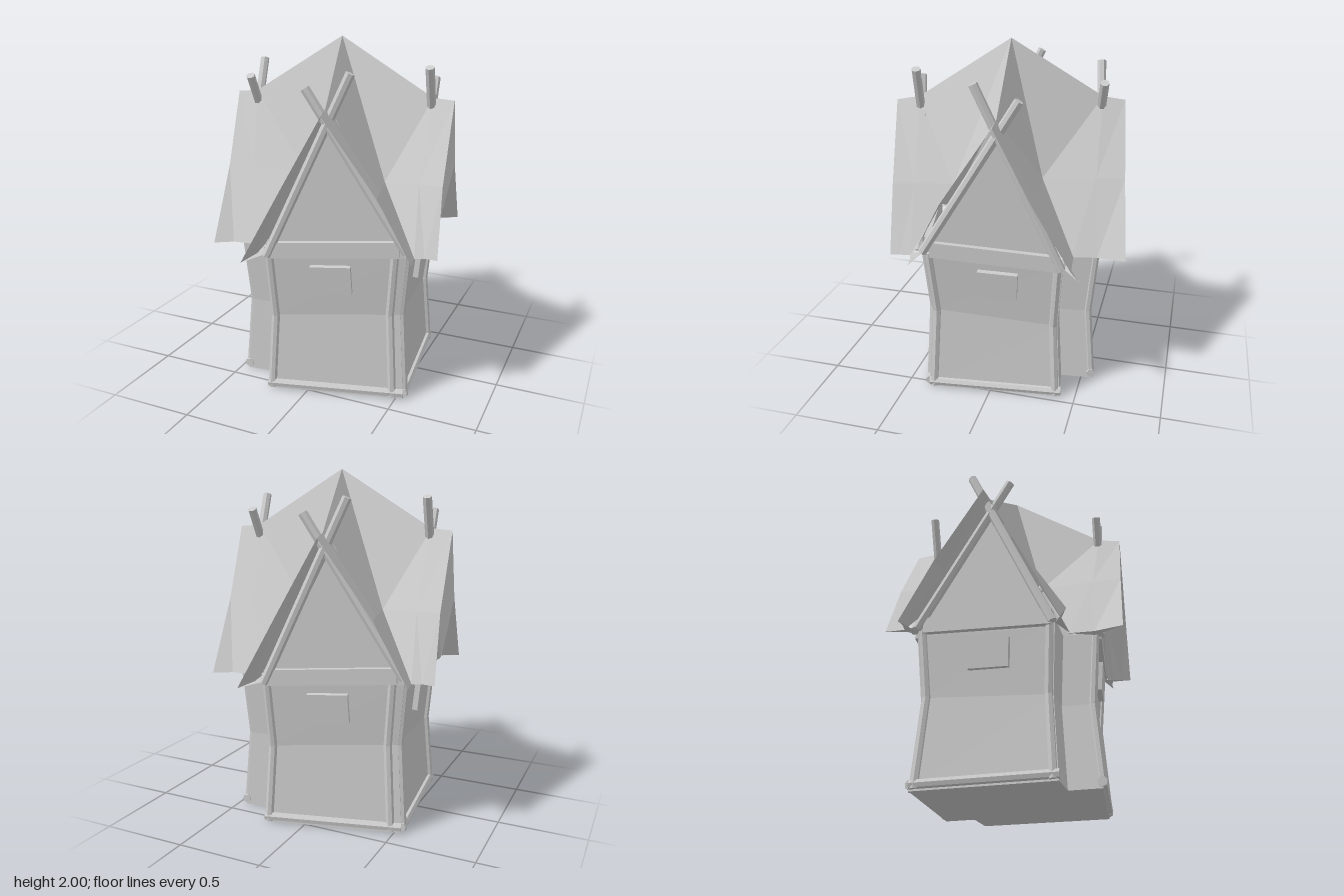
import * as THREE from 'three';

const V = (x, y, z) => new THREE.Vector3(x, y, z);
const grey = new THREE.MeshStandardMaterial({ color: 0xcccccc, flatShading: true });
const greyThin = new THREE.MeshStandardMaterial({ color: 0xcccccc, flatShading: true, side: THREE.DoubleSide });

// Plan corners of one half of the house; the other half is turned by 180 degrees
const A = V(-0.22, 0, 0.56), B = V(0.54, 0, 0.365), C = V(0.45, 0, -0.41), N = V(0.24, 0, -0.38);

// Walls pinch inwards at a waist, which sits a little higher at corner B
const LOW_WAIST = 0.455, HIGH_WAIST = 0.51, TOP = 0.86;
const bow = (y, waist) => y < waist ? 1 - 0.07 * y / waist : 0.93 + 0.07 * Math.min(1, (y - waist) / (TOP - waist));

function mesh(name, geometry, material = grey) {
  const m = new THREE.Mesh(geometry, material);
  m.name = name;
  return m;
}

function facets(points) {
  const g = new THREE.BufferGeometry().setFromPoints(points);
  g.computeVertexNormals();
  return g;
}

function pole(name, a, b, r) {
  const m = mesh(name, new THREE.CylinderGeometry(r, r, a.distanceTo(b), 7));
  m.position.copy(a).lerp(b, 0.5);
  m.quaternion.setFromUnitVectors(V(0, 1, 0), b.clone().sub(a).normalize());
  return m;
}

// Box running from a to b, its depth facing along n
function board(name, a, b, n, height, depth) {
  const m = mesh(name, new THREE.BoxGeometry(a.distanceTo(b), height, depth));
  const x = b.clone().sub(a).normalize();
  const y = n.clone().cross(x).normalize();
  m.quaternion.setFromRotationMatrix(new THREE.Matrix4().makeBasis(x, y, x.clone().cross(y)));
  m.position.copy(a).lerp(b, 0.5);
  return m;
}

// Cross-shaped plan lofted through three heights, closed below
function body() {
  const half = [A, B, C, N];
  const ring = [...half, ...half.map(p => V(-p.x, 0, -p.z))];
  const at = (i, level) => {
    const waist = i % 4 === 1 ? HIGH_WAIST : LOW_WAIST;
    const y = [0, waist, TOP][level];
    return ring[i % 8].clone().multiplyScalar(bow(y, waist)).setY(y);
  };
  const pts = [];
  for (let i = 0; i < 8; i++) {
    for (let k = 0; k < 2; k++) {
      const a = at(i, k), b = at(i + 1, k), c = at(i + 1, k + 1), d = at(i, k + 1);
      pts.push(a, b, c, a, c, d);
    }
    pts.push(V(0, 0, 0), at(i + 1, 0), at(i, 0));
  }
  return mesh('walls', facets(pts));
}

// Roof wing: columns run from the valleys to the gable edge,
// each going from the low eave over the ridge to the high eave
function roof(columns) {
  const pts = [];
  for (let c = 0; c < 2; c++) for (let r = 0; r < 4; r++) {
    const [a, b, d, e] = [columns[c][r], columns[c + 1][r], columns[c + 1][r + 1], columns[c][r + 1]].map(p => V(...p));
    // split along the diagonal that keeps the ridge fold clean
    if (r < 2) pts.push(a, b, d, a, d, e);
    else pts.push(a, b, e, b, d, e);
  }
  return mesh('roof', facets(pts), greyThin);
}

// Soffits closing the eaves back to the wall corners
function soffits(columns, low, high) {
  const pts = [];
  for (const [corner, r] of [[low, 0], [high, 4]]) {
    for (let c = 0; c < 2; c++) {
      const a = V(...columns[c][r]), b = V(...columns[c + 1][r]);
      pts.push(corner.clone().setY(a.y), a, b);
    }
  }
  return mesh('soffits', facets(pts), greyThin);
}

// Timber, window, gable and roof of one wall, from its low to its high corner
function wing(name, low, high, posts, columns) {
  const g = new THREE.Group();
  g.name = name;
  const along = high.clone().sub(low).normalize();
  const n = V(-along.z, 0, along.x);
  if (n.dot(low) < 0) n.negate();
  const waist = t => THREE.MathUtils.lerp(LOW_WAIST, HIGH_WAIST, t);
  const P = (t, y, out = 0) => low.clone().lerp(high, t).multiplyScalar(bow(y, waist(t))).addScaledVector(n, out).setY(y);

  g.add(roof(columns), soffits(columns, low, high));

  // gable wall
  g.add(mesh('gableWall', facets([P(0, 0.82), P(1, 0.86), P(0.51, 1.61)]), greyThin));

  // posts and sill
  for (const t of posts) {
    g.add(pole('lowerPost', P(t, 0.01), P(t, waist(t)), 0.024));
    g.add(pole('upperPost', P(t, waist(t)), P(t, 0.89), 0.024));
  }
  g.add(pole('sill', P(-0.01, 0.035), P(1, 0.035), 0.026));

  // tie beam
  g.add(board('tieBeam', P(0.02, 0.87), P(0.95, 0.915), n, 0.09, 0.06));

  // crossed rafters
  g.add(pole('longRafter', P(0.01, 0.84, 0.025), P(0.61, 1.85, 0.035), 0.026));
  g.add(pole('shortRafter', P(1, 0.9, 0.025), P(0.31, 1.77, 0.03), 0.026));

  // window panel leaning with the wall
  const lean = P(0.5, 0.8).sub(P(0.5, 0.6));
  const face = along.clone().cross(lean);
  if (face.dot(n) < 0) face.negate();
  g.add(board('window', P(0.32, 0.705, 0.008), P(0.62, 0.715, 0.008), face, 0.165, 0.045));
  return g;
}

function half(name) {
  const g = new THREE.Group();
  g.name = name;
  g.add(wing('gableWing', A, B, [0.02, 0.92], [
    [[-0.3, 0.84, 0.43], [-0.14, 1.24, 0.22], [0, 2, 0], [0.36, 1.24, 0.24], [0.6, 0.89, 0.42]],
    [[-0.27, 0.84, 0.57], [-0.09, 1.25, 0.52], [0.13, 1.67, 0.51], [0.41, 1.24, 0.45], [0.61, 0.89, 0.48]],
    [[-0.28, 0.84, 0.73], [-0.06, 1.25, 0.68], [0.16, 1.65, 0.635], [0.44, 1.24, 0.57], [0.62, 0.89, 0.53]],
  ]));
  g.add(wing('sideGableWing', C, B, [0.035, 0.965], [
    [[0.3, 0.84, -0.44], [0.14, 1.24, -0.22], [0, 2, 0], [0.36, 1.24, 0.24], [0.6, 0.89, 0.42]],
    [[0.49, 0.84, -0.46], [0.46, 1.25, -0.255], [0.53, 1.67, -0.06], [0.55, 1.24, 0.22], [0.65, 0.89, 0.4]],
    [[0.585, 0.84, -0.52], [0.615, 1.25, -0.27], [0.65, 1.66, -0.07], [0.68, 1.24, 0.21], [0.717, 0.885, 0.39]],
  ]));
  return g;
}

export function createModel() {
  const model = new THREE.Group();
  model.name = 'house';
  const back = half('backHalf');
  back.rotation.y = Math.PI;
  model.add(body(), half('frontHalf'), back);
  return model;
}
